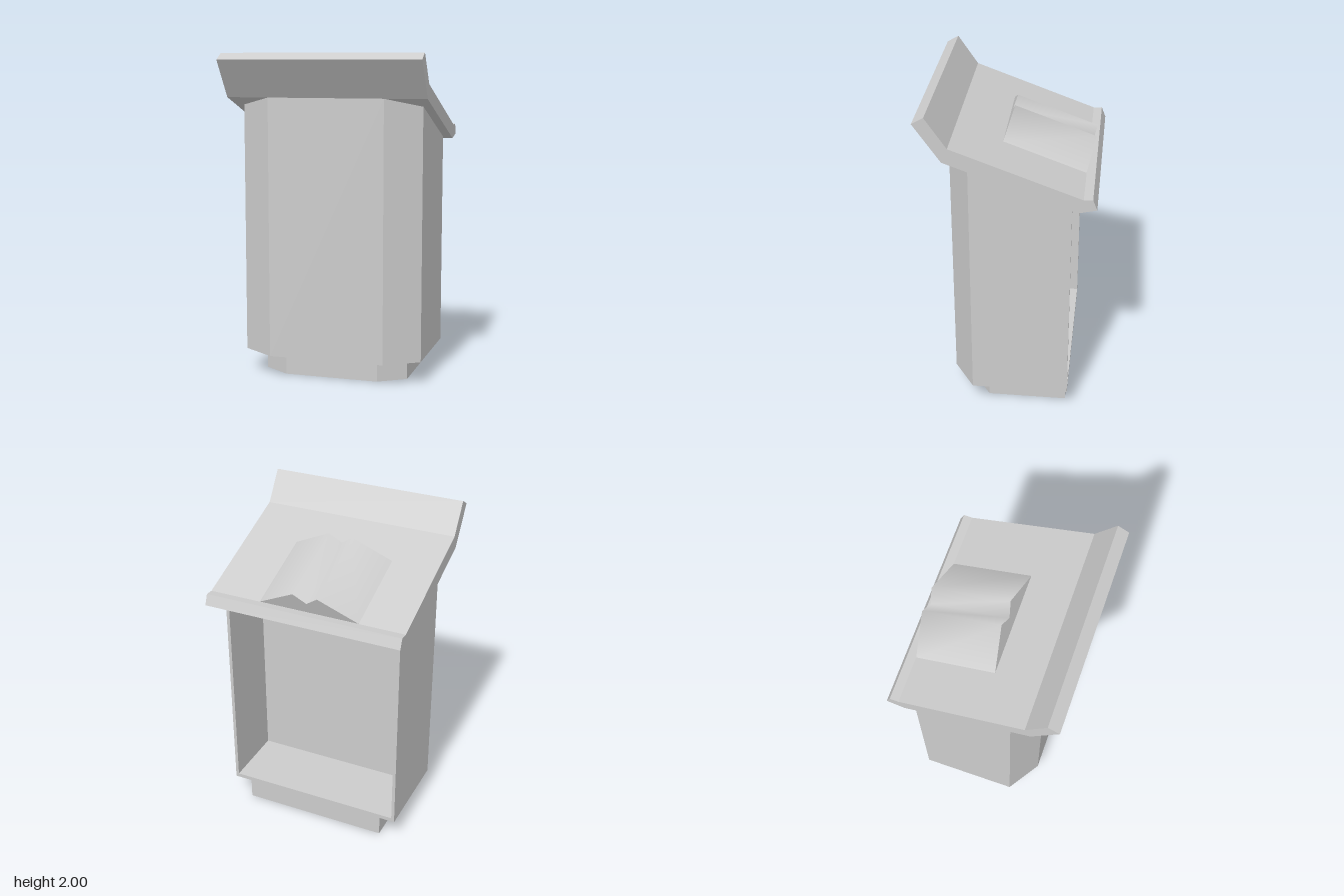
import * as THREE from 'three';
import { toCreasedNormals } from 'three/addons/utils/BufferGeometryUtils.js';

const HALF_WIDTH = 0.62;

// height of the desk's sloping underside at depth z
const undersideY = (z) => 1.735 + (z - 0.355) * 0.362;

// thin upright walls along an outline of [x, z] points
function walls(outline, bottom, topAt) {
  const pos = [];
  for (let i = 0; i < outline.length - 1; i++) {
    const [x0, z0] = outline[i];
    const [x1, z1] = outline[i + 1];
    const a = [x0, bottom, z0], b = [x1, bottom, z1];
    const c = [x1, topAt(z1), z1], d = [x0, topAt(z0), z0];
    pos.push(...a, ...b, ...c, ...a, ...c, ...d);
  }
  const g = new THREE.BufferGeometry();
  g.setAttribute('position', new THREE.Float32BufferAttribute(pos, 3));
  g.computeVertexNormals();
  return g;
}

// five-sided plan with chamfered front corners, starting and ending at the back
function chamferedPlan(w, frontW, back, side, front) {
  return [[w, back], [w, side], [frontW, front], [-frontW, front], [-w, side], [-w, back]].reverse();
}

const shapeOf = (points) => new THREE.Shape(points.map(([x, y]) => new THREE.Vector2(x, y)));

export function createModel() {
  const model = new THREE.Group();
  model.name = 'lectern';
  const grey = new THREE.MeshStandardMaterial({ color: 0xcccccc, side: THREE.DoubleSide });
  grey.name = 'light grey';

  const add = (name, geometry) => {
    const mesh = new THREE.Mesh(geometry, grey);
    mesh.name = name;
    model.add(mesh);
    return mesh;
  };

  // hollow plinth, open below
  const plinth = chamferedPlan(0.46, 0.295, -0.355, 0.13, 0.24);
  add('plinth', walls([...plinth, plinth[0]], 0, () => 0.14));

  // cabinet shell with narrow jambs at the open back
  const W = 0.565, IN = 0.545, BACK = -0.37, NICHE = 0.04, FLOOR = 0.165;
  const shell = chamferedPlan(W, 0.36, BACK, 0.22, 0.355);
  add('cabinetShell', walls([[-IN, BACK], ...shell, [IN, BACK]].map((p, i, all) => {
    // the plan runs from -x to +x, so both jambs meet its ends
    return all[i];
  }), 0.14, undersideY));

  // recess in the back, with its floor and sill
  add('recessWalls', walls([[-IN, BACK], [-IN, NICHE], [IN, NICHE], [IN, BACK]], FLOOR, undersideY));
  const floor = add('recessFloor', new THREE.PlaneGeometry(2 * IN, NICHE - BACK).rotateX(-Math.PI / 2));
  floor.position.set(0, FLOOR, (NICHE + BACK) / 2);
  add('sill', walls([[IN, BACK], [-IN, BACK]], 0.14, () => FLOOR));

  // sloping desk with raised front and small retaining lip, as a [z, y] profile
  const desk = new THREE.ExtrudeGeometry(shapeOf([
    [0.512, 1.96], [0.443, 2.0], [0.32, 1.82], [-0.435, 1.545],
    [-0.487, 1.548], [-0.512, 1.485], [-0.405, 1.46], [0.355, 1.735],
  ]), { depth: 2 * HALF_WIDTH, bevelEnabled: false });
  desk.rotateY(-Math.PI / 2).translate(HALF_WIDTH, 0, 0);
  add('desk', desk);

  // open book with softly shaded pages
  const length = 0.515;
  const book = new THREE.ExtrudeGeometry(shapeOf([
    [-0.315, 0], [0.315, 0], [0.077, 0.13], [0, 0.072], [-0.077, 0.13],
  ]), { depth: length, bevelEnabled: false });
  book.translate(0, 0, -length);
  const openBook = add('openBook', toCreasedNormals(book, 1.4));
  openBook.position.set(-0.02, 1.721, 0.05);
  openBook.rotation.x = -0.348;

  return model;
}
